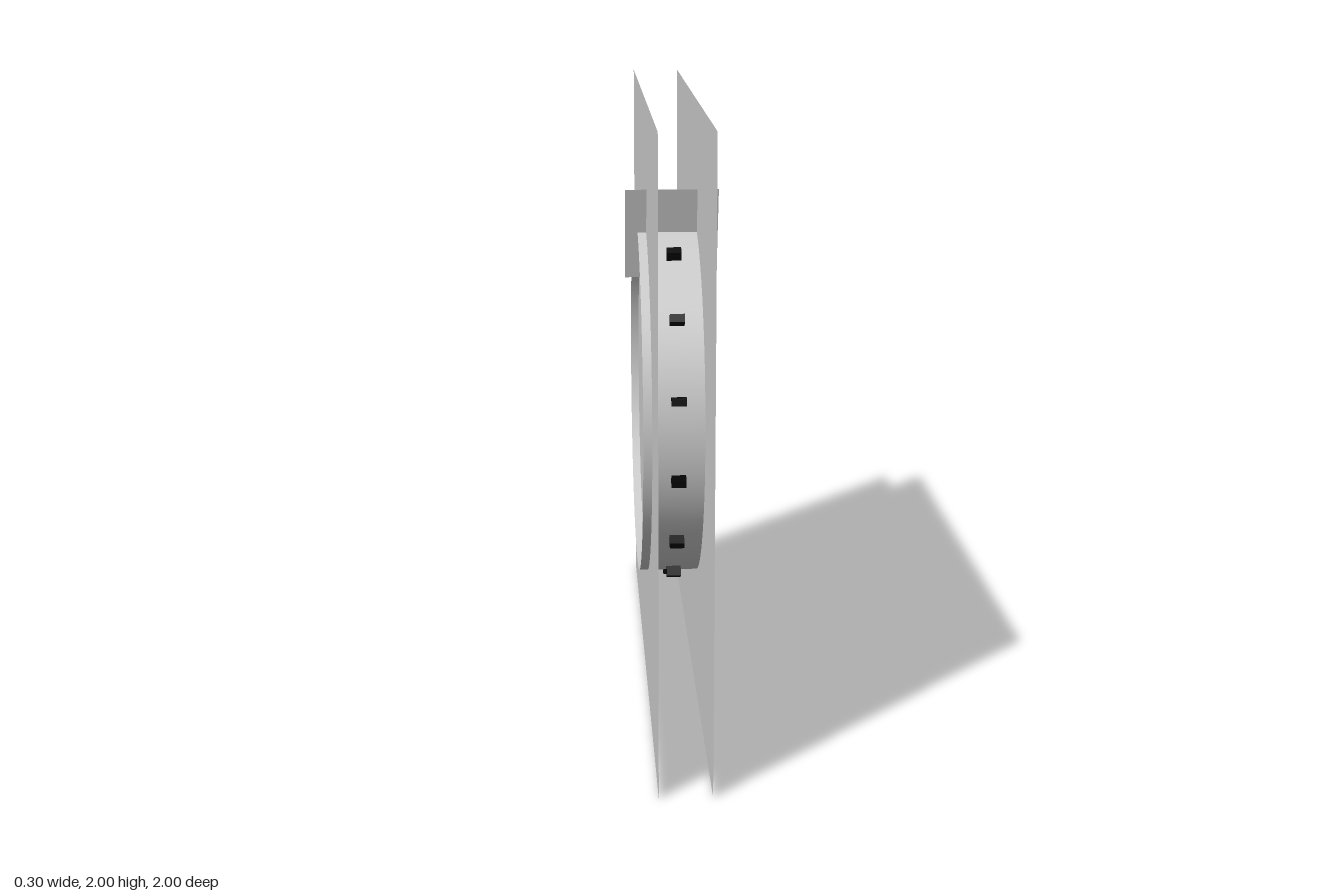
import * as THREE from 'three';

export function createModel() {
  const model = new THREE.Group();
  const grey = new THREE.MeshStandardMaterial({ color: 0xcccccc });
  const sheet = new THREE.MeshStandardMaterial({ color: 0xcccccc, side: THREE.DoubleSide });
  const black = new THREE.MeshStandardMaterial({ color: 0x050505 });

  const add = (name, geometry, material, parent = model) => {
    const mesh = new THREE.Mesh(geometry, material);
    mesh.name = name;
    parent.add(mesh);
    return mesh;
  };

  // Two thin square faces, one on each side of the wheel
  for (const side of [1, -1]) {
    const panel = add(side > 0 ? 'leftFacePanel' : 'rightFacePanel', new THREE.PlaneGeometry(2, 2), sheet);
    panel.rotation.y = side * Math.PI / 2;
    panel.position.set(side * 0.082, 1, 0);
  }

  // Wheel with its axle along x
  const wheel = new THREE.Group();
  wheel.name = 'wheel';
  wheel.position.y = 1;
  model.add(wheel);

  // Open outer band, and the drum enclosed between the faces
  add('rim', new THREE.CylinderGeometry(0.6, 0.6, 0.22, 64, 1, true).rotateZ(Math.PI / 2), sheet, wheel);
  add('drum', new THREE.CylinderGeometry(0.467, 0.467, 0.162, 64).rotateZ(Math.PI / 2), grey, wheel);

  // Pegs evenly spaced around the rim
  const pegCount = 15, pegRadius = 0.612;
  for (let i = 0; i < pegCount; i++) {
    const angle = (i + 0.5) * 2 * Math.PI / pegCount;
    const peg = add('peg', new THREE.BoxGeometry(0.046, 0.027, 0.04), black, wheel);
    peg.position.set(0, pegRadius * Math.sin(angle), pegRadius * Math.cos(angle));
    peg.rotation.x = -angle;
  }

  // Tilted flap that catches the pegs
  const flap = add('flapper', new THREE.PlaneGeometry(0.3, 0.31), sheet);
  flap.position.set(0, 1.572, 0.159);
  flap.rotation.x = 0.26;

  return model;
}
